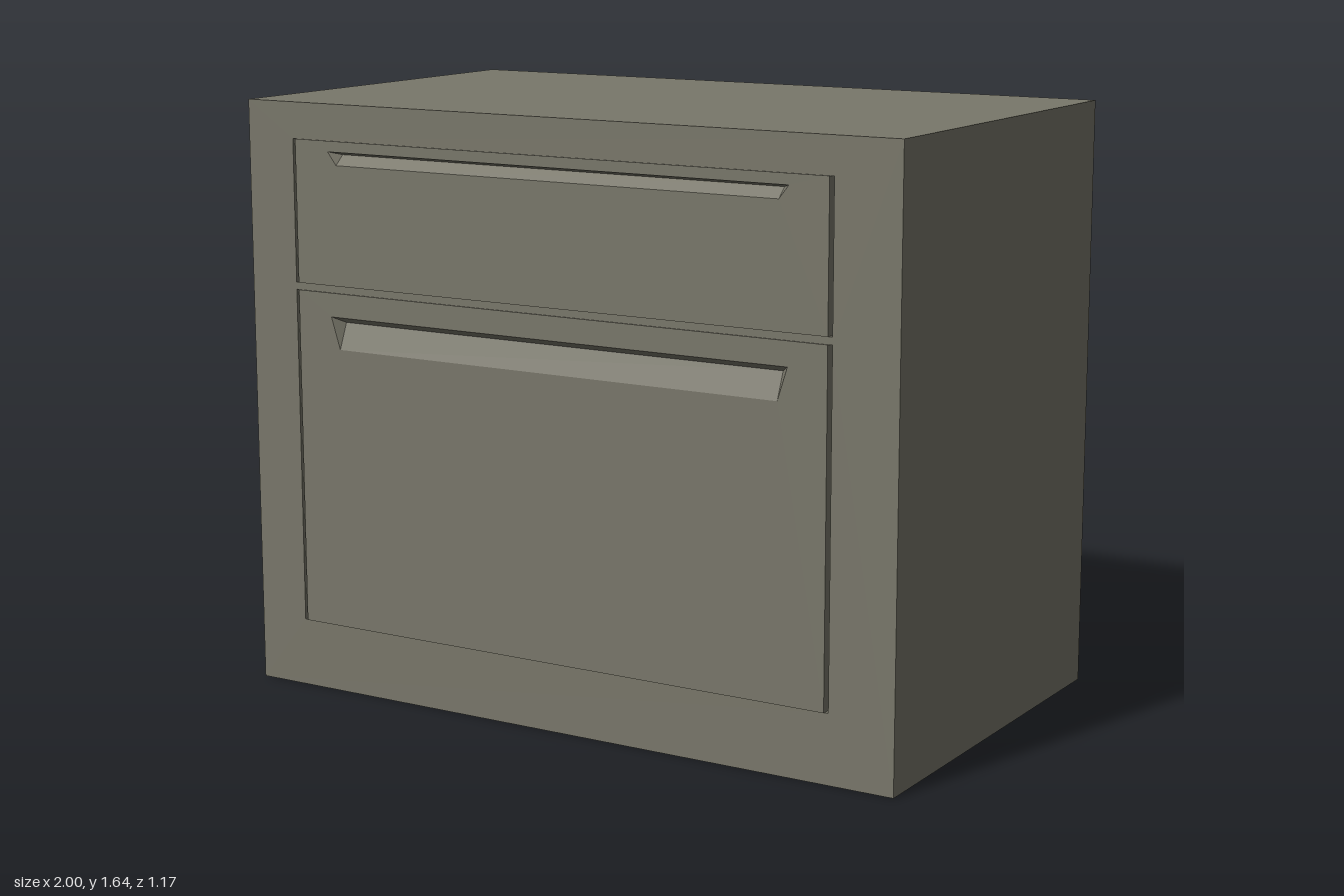
import * as THREE from 'three';

const material = new THREE.MeshStandardMaterial({ color: 0x79776a, flatShading: true });
const RIGHT = -0.838, LEFT = 0.803, GAP = 0.011; // drawer sides and side grooves
const HEIGHT = 1.645, BACK = -0.586, INNER = 0.555, FACE = 0.583, DRAWER_FACE = 0.587;

const drawers = [
  { name: 'upperDrawer', bottom: 1.15, top: 1.545, gripBottom: 1.48, gripInner: 1.507, gripTop: 1.516 },
  { name: 'lowerDrawer', bottom: 0.19, top: 1.13, gripBottom: 0.975, gripInner: 1.047, gripTop: 1.064 },
];

function polygon(points, Type = THREE.Shape) {
  return new Type(points.map(([x, y]) => new THREE.Vector2(x, y)));
}

const rect = (x0, y0, x1, y1) => [[x0, y0], [x1, y0], [x1, y1], [x0, y1]];

function plate(outline, holes, z0, z1) {
  const shape = polygon(outline);
  shape.holes = holes.map((h) => polygon(h, THREE.Path));
  return new THREE.ExtrudeGeometry(shape, { depth: z1 - z0, bevelEnabled: false }).translate(0, 0, z0);
}

// Wedge-shaped finger recess: sloping floor, ceiling and two triangular ends
function gripGeometry(d) {
  const zi = DRAWER_FACE - 0.03;
  const a = [-0.7, d.gripBottom, DRAWER_FACE], b = [0.663, d.gripBottom, DRAWER_FACE];
  const c = [0.663, d.gripInner, zi], e = [-0.7, d.gripInner, zi];
  const f = [-0.728, d.gripTop, DRAWER_FACE], g = [0.691, d.gripTop, DRAWER_FACE];
  const triangles = [a, b, c, a, c, e, e, c, g, e, g, f, a, e, f, b, g, c];
  const geometry = new THREE.BufferGeometry();
  geometry.setAttribute('position', new THREE.Float32BufferAttribute(triangles.flat(), 3));
  geometry.computeVertexNormals();
  return geometry;
}

export function createModel() {
  const model = new THREE.Group();
  model.name = 'drawerCabinet';
  const add = (parent, name, geometry) => {
    const mesh = new THREE.Mesh(geometry, material);
    mesh.name = name;
    parent.add(mesh);
  };

  // Cabinet body
  const depth = INNER - BACK;
  add(model, 'carcass', new THREE.BoxGeometry(2, HEIGHT, depth).translate(0, HEIGHT / 2, BACK + depth / 2));

  // Front frame, its openings slightly wider than the drawers
  const openings = drawers.map((d) => rect(RIGHT - GAP, d.bottom, LEFT + GAP, d.top));
  add(model, 'frontFrame', plate(rect(-1, 0, 1, HEIGHT), openings, INNER, FACE));

  // Drawer fronts with recessed grips
  for (const d of drawers) {
    const drawer = new THREE.Group();
    drawer.name = d.name;
    const opening = [[-0.7, d.gripBottom], [0.663, d.gripBottom], [0.691, d.gripTop], [-0.728, d.gripTop]];
    add(drawer, 'drawerFront', plate(rect(RIGHT, d.bottom, LEFT, d.top), [opening], INNER, DRAWER_FACE));
    add(drawer, 'gripRecess', gripGeometry(d));
    model.add(drawer);
  }
  return model;
}
